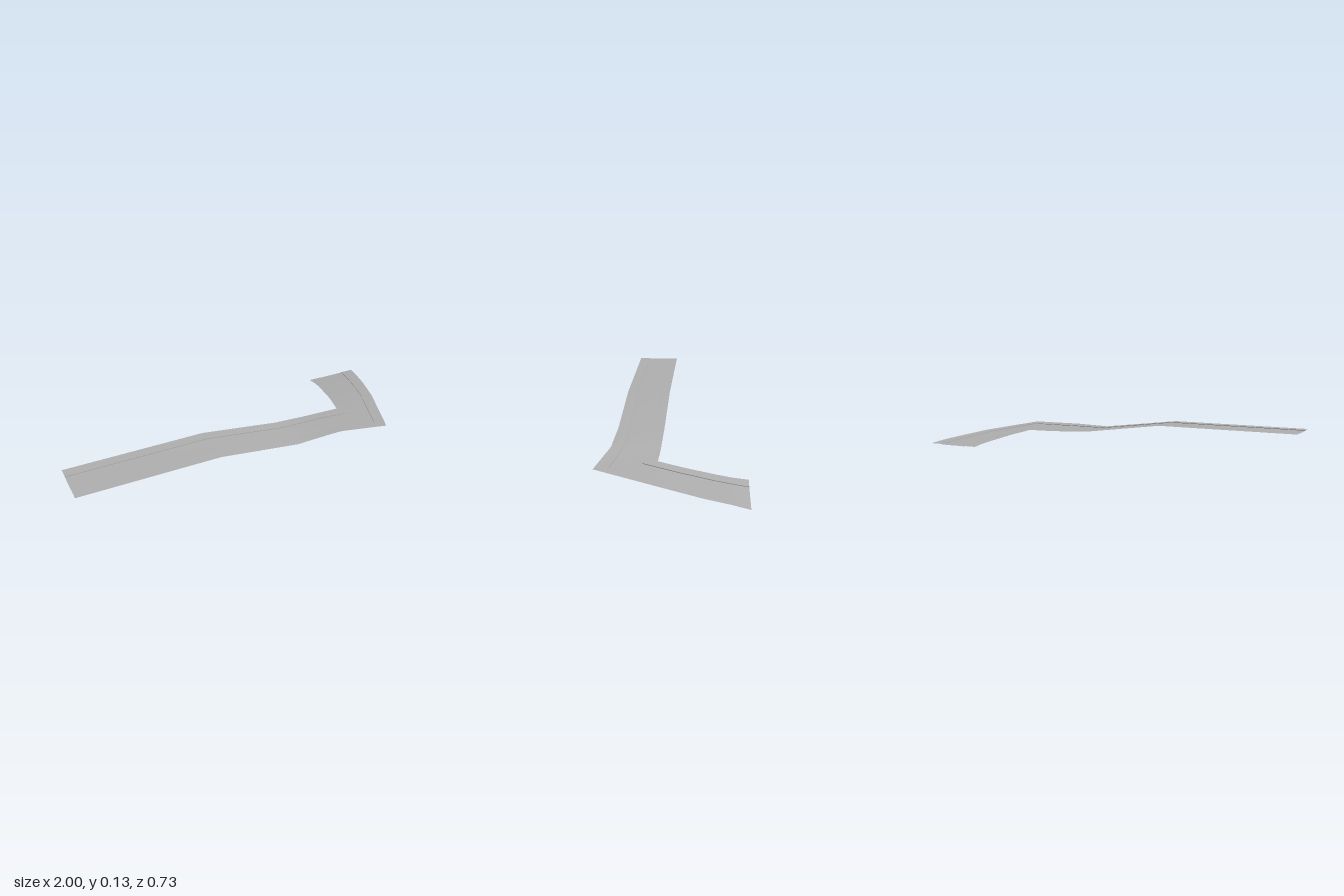
import * as THREE from 'three';

// Cross-sections along the road: [inner edge x, y, z], [outer edge x, y, z]
const SECTIONS = [
  [[-1, 0.128, 0.065], [-1, 0.128, 0.31]],
  [[-0.24, 0.128, 0.065], [-0.24, 0.128, 0.31]],
  [[0.21, 0.068, 0.065], [0.21, 0.071, 0.31]],
  [[0.42, 0.057, 0.065], [0.42, 0.076, 0.31]],
  [[0.49, 0.055, 0.065], [0.49, 0.075, 0.31]],
  [[0.61, 0.053, 0.068], [0.75, 0.066, 0.36]],
  [[0.65, 0.038, -0.07], [0.89, 0.044, 0.02]],
  [[0.68, 0.02, -0.22], [0.95, 0.026, -0.16]],
  [[0.69, 0.012, -0.29], [0.98, 0.015, -0.28]],
  [[0.69, 0.003, -0.365], [1, 0.003, -0.365]],
].map((s) => s.map((p) => new THREE.Vector3(...p)));

const KERB = 0.245; // share of the width taken by each pavement
const DROP = 0.0025; // carriageway lies this far below the pavements

// Strip between two rails; a rail is [share across the width, drop]
function strip(railA, railB) {
  const positions = [];
  const index = [];
  SECTIONS.forEach(([inner, outer], i) => {
    for (const [t, drop] of [railA, railB]) {
      const p = inner.clone().lerp(outer, t);
      positions.push(p.x, p.y - drop, p.z);
    }
    if (i > 0) {
      const a = 2 * (i - 1);
      index.push(a, a + 1, a + 3, a, a + 3, a + 2);
    }
  });
  const geometry = new THREE.BufferGeometry();
  geometry.setAttribute('position', new THREE.Float32BufferAttribute(positions, 3));
  geometry.setIndex(index);
  geometry.computeVertexNormals();
  return geometry;
}

export function createModel() {
  const group = new THREE.Group();
  group.name = 'road';
  const concrete = new THREE.MeshStandardMaterial({ color: 0xb0b0b0, side: THREE.DoubleSide });
  concrete.name = 'concrete grey';

  // Pavement, kerb, carriageway, kerb, pavement
  const rails = [[0, 0], [KERB, 0], [KERB, DROP], [1 - KERB, DROP], [1 - KERB, 0], [1, 0]];
  const names = ['innerPavement', 'innerKerb', 'carriageway', 'outerKerb', 'outerPavement'];
  names.forEach((name, i) => {
    const mesh = new THREE.Mesh(strip(rails[i], rails[i + 1]), concrete);
    mesh.name = name;
    group.add(mesh);
  });
  return group;
}
